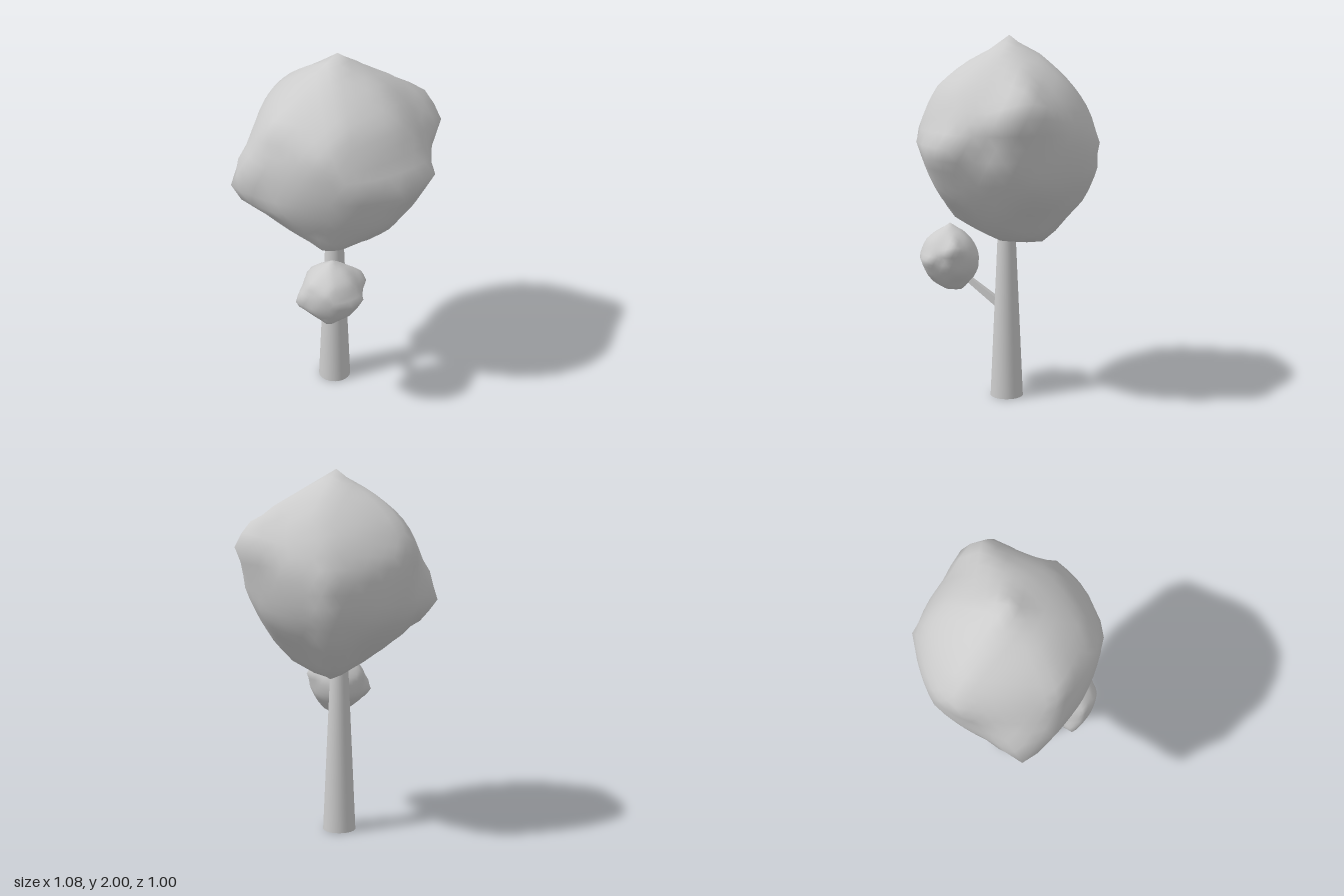
import * as THREE from 'three';
import { mergeVertices } from 'three/addons/utils/BufferGeometryUtils.js';
import { ConvexGeometry } from 'three/addons/geometries/ConvexGeometry.js';

const material = new THREE.MeshStandardMaterial({ color: 0xcccccc });

// Corners of the lumpy crown, relative to its centre
const CORNERS = [
  // top
  [0, 0.555, 0], [-0.17, 0.455, -0.06], [0.2, 0.44, 0.04], [0, 0.44, 0.19], [0, 0.46, -0.17],
  // shoulders
  [0.415, 0.305, -0.21], [0.25, 0.39, -0.08], [0.05, 0.31, -0.31], [-0.36, 0.3, -0.17],
  [-0.28, 0.28, 0.32], [0.08, 0.29, 0.38], [0.33, 0.27, 0.2],
  // waist
  [0.53, 0.17, -0.18], [0.45, 0.18, -0.31], [-0.44, 0.17, -0.18], [0, 0.17, 0.475],
  [0, 0.16, -0.42], [0.54, -0.01, 0.185], [0.18, 0, 0.475], [0.41, -0.03, 0.35],
  [0.45, 0.16, 0.14], [-0.42, 0, 0.31], [-0.51, -0.01, 0.15], [-0.36, 0.1, -0.31],
  [0, -0.01, -0.5],
  // lower bulges
  [-0.55, -0.19, 0.18], [-0.45, -0.27, 0.14], [0, -0.19, -0.48], [-0.3, -0.2, -0.33],
  [0.48, -0.1, -0.12], [0.36, -0.2, -0.25], [0.43, -0.21, 0], [0.08, -0.24, 0.4],
  [0.27, -0.28, 0.3], [-0.25, -0.2, 0.37],
  // underside
  [0.31, -0.43, 0], [0, -0.45, 0.31], [-0.2, -0.445, -0.05], [0, -0.38, -0.37],
  [0.19, -0.515, 0], [0.04, -0.55, 0.03], [0, -0.555, -0.19],
].map((p) => new THREE.Vector3(...p));

// Shallow hollows in the sides: direction and depth
const DENTS = [
  [new THREE.Vector3(1, 0.05, 0).normalize(), 0.045],
  [new THREE.Vector3(-1, 0.05, -0.1).normalize(), 0.03],
];

// Icosphere, pole upward, each vertex pushed out to the faces between the corners
function crownGeometry() {
  const hull = new ConvexGeometry(CORNERS);
  const planes = [];
  for (let i = 0; i < hull.attributes.position.count; i += 3) {
    const normal = new THREE.Vector3().fromBufferAttribute(hull.attributes.normal, i);
    const point = new THREE.Vector3().fromBufferAttribute(hull.attributes.position, i);
    planes.push({ normal, distance: normal.dot(point) });
  }

  let geo = new THREE.IcosahedronGeometry(1, 7);
  geo.deleteAttribute('uv');
  geo.deleteAttribute('normal');
  geo = mergeVertices(geo, 1e-4);
  geo.rotateZ(-Math.atan(2 / (1 + Math.sqrt(5))));
  const pos = geo.attributes.position;
  const v = new THREE.Vector3();
  for (let i = 0; i < pos.count; i++) {
    v.fromBufferAttribute(pos, i).normalize();
    let radius = Infinity;
    for (const { normal, distance } of planes) {
      const facing = normal.dot(v);
      if (facing > 1e-4) radius = Math.min(radius, distance / facing);
    }
    // Swell the flattest faces, then press in the hollows
    radius = 1.008 * radius + 0.5 * Math.max(0, 0.48 - radius);
    for (const [dir, depth] of DENTS) radius -= depth * Math.exp(30 * (v.dot(dir) - 1));
    v.multiplyScalar(radius);
    pos.setXYZ(i, v.x, v.y, v.z);
  }
  geo.computeVertexNormals();
  return geo;
}

function addMesh(group, name, geo, mat = material) {
  const mesh = new THREE.Mesh(geo, mat);
  mesh.name = name;
  group.add(mesh);
  return mesh;
}

export function createModel() {
  const tree = new THREE.Group();
  tree.name = 'tree';

  // Tapered trunk reaching into the crown
  addMesh(tree, 'trunk', new THREE.CylinderGeometry(0.045, 0.091, 1.02, 32))
    .position.set(-0.014, 0.51, 0.02);

  // Four-sided branch leaning forward to the small crown
  const start = new THREE.Vector3(-0.015, 0.52, 0.06);
  const end = new THREE.Vector3(-0.015, 0.7, 0.31);
  const dir = end.clone().sub(start);
  const branchGeo = new THREE.CylinderGeometry(0.018, 0.03, dir.length(), 4);
  branchGeo.rotateY(Math.PI / 4);
  const flat = material.clone();
  flat.flatShading = true;
  const branch = addMesh(tree, 'branch', branchGeo, flat);
  branch.position.copy(start).lerp(end, 0.5);
  branch.quaternion.setFromUnitVectors(new THREE.Vector3(0, 1, 0), dir.normalize());

  // Large crown and a one-third size copy of it
  const crown = crownGeometry();
  addMesh(tree, 'largeCrown', crown).position.set(0, 1.44, 0);
  const small = addMesh(tree, 'smallCrown', crown);
  small.position.set(0.02, 0.782, 0.337);
  small.scale.setScalar(0.337);

  return tree;
}
